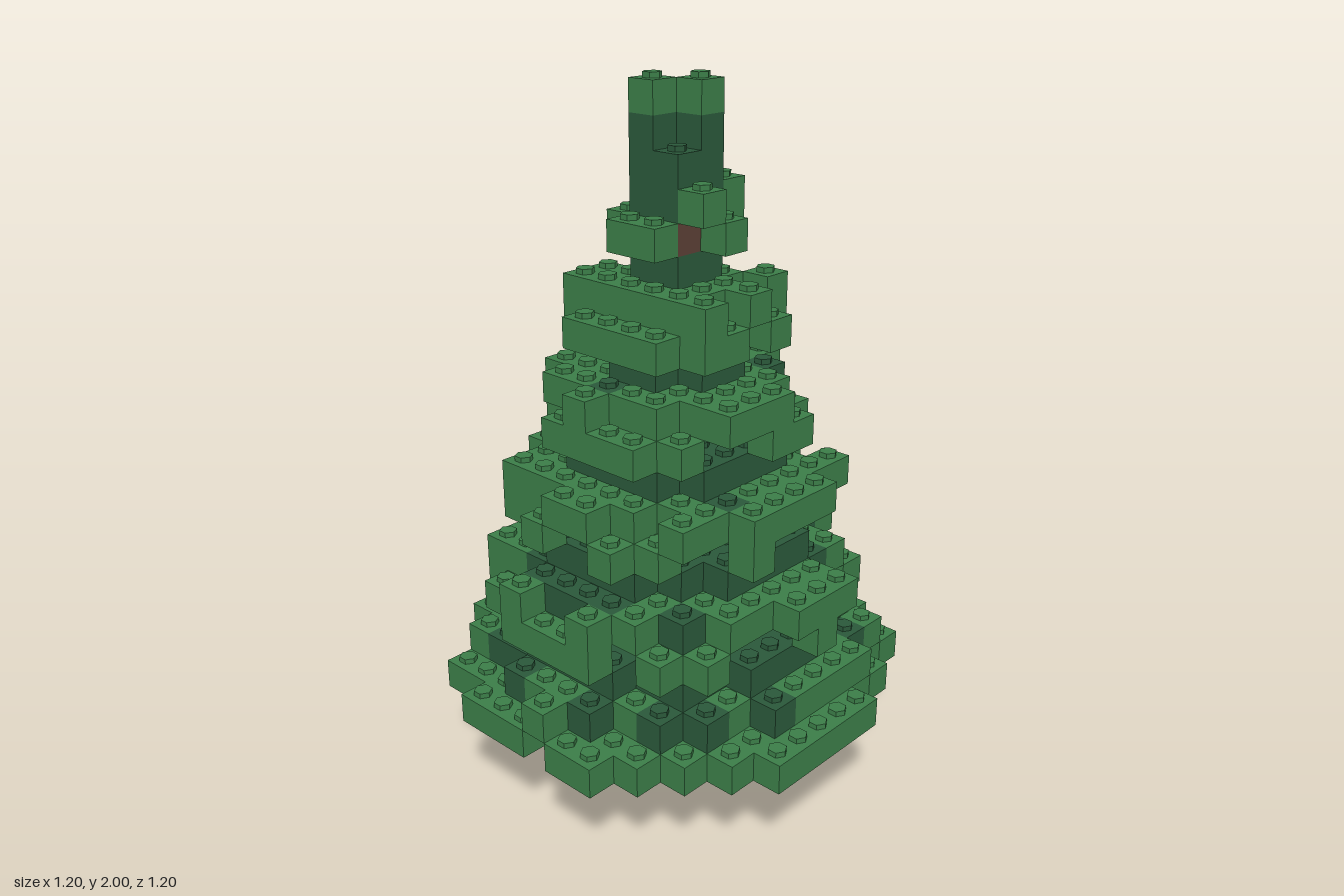
import * as THREE from 'three';
import { mergeGeometries } from 'three/addons/utils/BufferGeometryUtils.js';

const CELL = 0.0859, H = 0.0863, STUD = 0.015;

// repeatable value in 0..1
const hash = (a, b, c) => {
  const s = Math.sin(a * 12.99 + b * 78.23 + c * 37.72) * 43758.5453;
  return s - Math.floor(s);
};
const dist2 = (i, j) => (i + 0.5) ** 2 + (j + 0.5) ** 2;

// which side of the tree a cell lies on, and its lane along that side
function sideOf(i, j) {
  const x = i + 0.5, z = j + 0.5;
  return Math.abs(x) >= Math.abs(z) ? [x > 0 ? 'plusX' : 'minusX', j] : [z > 0 ? 'front' : 'back', i];
}
const SIDES = ['plusX', 'minusX', 'front', 'back'];

// branch tiers: radius in cells, lanes open in the lower layer, bare sides,
// cells cut from or added to the rim, and cells that stay dark on top
const TIERS = [
  { R: 7, base: 3, open: { front: [0] }, cut: ['6,-3', '-7,-3', '-7,2'], extra: ['4,-6', '-5,5'],
    dark: ['-4,-5', '4,-4', '5,1'] },
  { R: 6, base: 6, open: { plusX: [2, 0, -2], minusX: [2, -2] }, cut: ['-4,-5', '4,-4', '5,1'], dark: ['1,-5'] },
  { R: 5, base: 9, open: { plusX: [-1, 0], front: [-1, 0] }, cut: ['1,-5'], emptyRow: -4, bareUpper: 'back' },
  { R: 4, base: 12, open: { plusX: [0] }, bareLower: 'back' },
  { R: 3, base: 15, open: { plusX: [-1] }, bareUpper: 'front' },
  { R: 2, base: 18, open: { plusX: [0] } },
];

// gaps in the lower ring; opposite sides never open in the same lane
function isOpen({ R, open, emptyRow }, side, lane, j) {
  if (j === emptyRow || (open[side] || []).includes(lane)) return true;
  const s = SIDES.indexOf(side), centre = Math.abs(lane + 0.5);
  if (R === 2 || (R === 7 && centre < 2)) return false;
  if (centre < 1 && (side === 'front' || side === 'plusX')) return false;
  if (emptyRow && s > 1) return false;
  const h = hash(lane, s >> 1, R);
  return s % 2 ? h > 0.7 : h < 0.3;
}

export function createModel() {
  const group = new THREE.Group();
  const mats = {};
  for (const [name, color] of [['leafGreen', 0x3b7d48], ['darkGreen', 0x2a583a], ['trunkBrown', 0x5b4035]]) {
    mats[name] = new THREE.MeshStandardMaterial({ color });
    mats[name].name = name;
  }

  // layers of cells, each holding a colour name
  const layers = Array.from({ length: 24 }, () => new Map());
  const key = (i, j) => i + ',' + j;
  const put = (y, i, j, colour) => layers[y].set(key(i, j), colour);
  const get = (y, i, j) => layers[y].get(key(i, j));
  const each = (fn) => {
    for (let j = -7; j < 7; j++) for (let i = -7; i < 7; i++) fn(i, j, dist2(i, j));
  };
  const disc = (y, R, colour) => each((i, j, d) => { if (d < R * R) put(y, i, j, colour); });

  for (let y = 0; y < 3; y++) disc(y, 1, 'trunkBrown');

  for (const tier of TIERS) {
    const { R, base, bareUpper, bareLower, cut = [], extra = [], dark = [] } = tier;
    const up = base + 1;
    disc(base, 1, 'trunkBrown');
    // dark disc lying on the lower ring
    disc(up, R - 1, 'darkGreen');

    each((i, j, d) => {
      const k = key(i, j);
      if ((d >= R * R && !extra.includes(k)) || cut.includes(k) || d < (R - 2) ** 2) return;
      const [side, lane] = sideOf(i, j);
      const s = SIDES.indexOf(side);
      const open = isOpen(tier, side, lane, j);
      const outer = d >= (R - 1) ** 2;
      // lower layer: one row of branch tips round the rim
      if (outer && !open && side !== bareLower) put(base, i, j, 'leafGreen');
      // upper layer: tips above the gaps, and light bricks among the dark ones
      if (R === 2 || dark.includes(k)) return;
      if (outer) {
        if (side !== bareUpper && (open || (R < 7 && hash(lane, s + 9, R) < 0.3))) put(up, i, j, 'leafGreen');
      } else if (open || hash(lane, s + 5, R) > 0.35) put(up, i, j, 'leafGreen');
    });
    // dark core disc between tiers
    disc(base + 2, Math.max(R - 2, 1), 'darkGreen');
  }
  // three tips round the top of the highest tier
  for (const [i, j] of [[-2, -1], [1, 0], [0, -2]]) put(19, i, j, 'leafGreen');

  // two upright tips set on the diagonal
  for (const [i, j] of [[0, -1], [-1, 0]]) {
    put(21, i, j, 'darkGreen');
    put(22, i, j, 'leafGreen');
  }

  // bricks up to four cells long, with a six-sided stud on every open cell
  const stud = new THREE.CylinderGeometry(0.026, 0.026, STUD, 6).rotateY(Math.PI / 6).toNonIndexed();
  stud.computeVertexNormals();
  const brick = (y, i, j, n) => new THREE.BoxGeometry(n * CELL, H, CELL).toNonIndexed()
    .translate((i + n / 2) * CELL, (y + 0.5) * H, (j + 0.5) * CELL);

  const partName = { leafGreen: 'branchBricks', darkGreen: 'coreBricks', trunkBrown: 'trunkBricks' };
  for (let y = 0; y < 23; y++) {
    const parts = { leafGreen: [], darkGreen: [], trunkBrown: [] };
    for (let j = -7; j < 7; j++) {
      for (let i = -7; i < 7;) {
        const colour = get(y, i, j);
        if (!colour) { i++; continue; }
        let n = 1;
        while (n < 4 && i + n < 7 && get(y, i + n, j) === colour) n++;
        parts[colour].push(brick(y, i, j, n));
        for (let k = i; k < i + n; k++) {
          if (get(y + 1, k, j)) continue;
          parts[colour].push(stud.clone().translate((k + 0.5) * CELL, (y + 1) * H + STUD / 2, (j + 0.5) * CELL));
        }
        i += n;
      }
    }
    for (const colour in parts) {
      if (!parts[colour].length) continue;
      const mesh = new THREE.Mesh(mergeGeometries(parts[colour]), mats[colour]);
      mesh.name = partName[colour] + 'Layer' + (y + 1);
      group.add(mesh);
    }
  }
  group.name = 'brickTree';
  return group;
}
